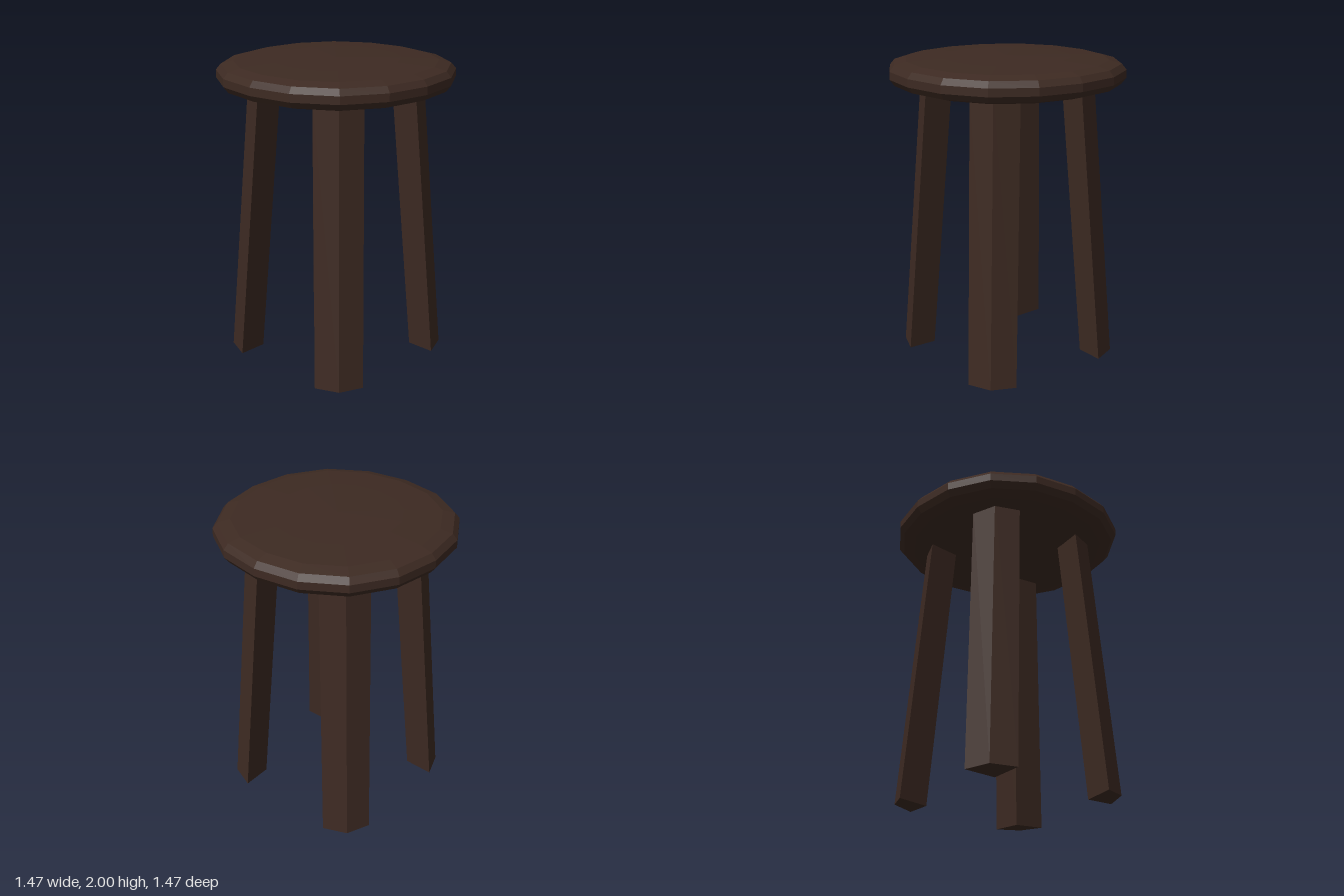
import * as THREE from 'three';

const wood = new THREE.MeshStandardMaterial({ color: 0x3d2a22, flatShading: true });

// Sixteen-sided cushion-shaped disc, very slightly squared towards the diagonals
function createSeat() {
  const profile = [
    [0, 1.8], [0.4, 1.803], [0.63, 1.815], [0.705, 1.836], [0.735, 1.875],
    [0.735, 1.925], [0.705, 1.962], [0.63, 1.983], [0.4, 1.996], [0, 2],
  ].map(([r, y]) => new THREE.Vector2(r, y));
  const geometry = new THREE.LatheGeometry(profile, 16);
  const pos = geometry.attributes.position;
  for (let i = 0; i < pos.count; i++) {
    const x = pos.getX(i), z = pos.getZ(i);
    const bulge = 1 + 0.03 * Math.sin(2 * Math.atan2(z, x)) ** 2;
    pos.setX(i, x * bulge);
    pos.setZ(i, z * bulge);
  }
  geometry.computeVertexNormals();
  const seat = new THREE.Mesh(geometry, wood);
  seat.name = 'seat';
  return seat;
}

// Kite-shaped post: blunt corner outwards (+x), leaning inwards at the top
function createLegGeometry() {
  const kite = new THREE.Shape([
    new THREE.Vector2(0.07, 0),
    new THREE.Vector2(0, 0.153),
    new THREE.Vector2(-0.135, 0),
    new THREE.Vector2(0, -0.153),
  ]);
  const geometry = new THREE.ExtrudeGeometry(kite, { depth: 1.85, bevelEnabled: false });
  geometry.rotateX(-Math.PI / 2);
  geometry.rotateZ(0.083);
  geometry.translate(0.64, 0.011, 0);
  return geometry;
}

export function createModel() {
  const stool = new THREE.Group();
  stool.name = 'stool';
  stool.add(createSeat());

  // Four legs on the diagonals
  const legGeometry = createLegGeometry();
  ['backLeftLeg', 'backRightLeg', 'frontRightLeg', 'frontLeftLeg'].forEach((name, i) => {
    const leg = new THREE.Mesh(legGeometry, wood);
    leg.name = name;
    leg.rotation.y = Math.PI / 4 + i * Math.PI / 2;
    stool.add(leg);
  });
  return stool;
}
